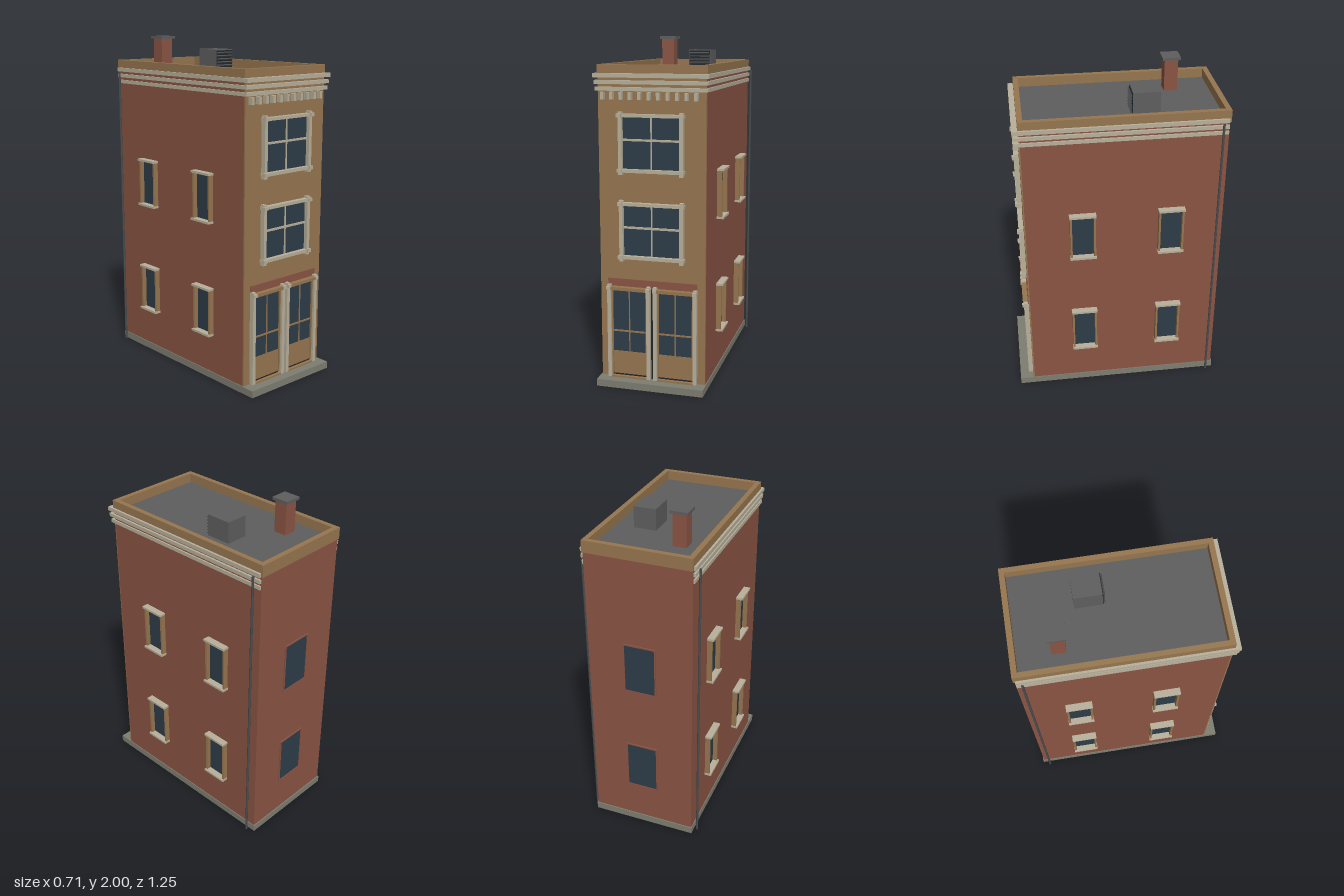
import * as THREE from 'three';

const colours = {
  brick: 0x8a5443, tan: 0x96764f, stone: 0xb8b09b, glass: 0x2d3c48,
  roofGrey: 0x5e5e5e, concrete: 0x7d7d71, metal: 0x4a4c4e, black: 0x22262a,
};

export function createModel() {
  const model = new THREE.Group();
  model.name = 'townhouse';
  const mat = {};
  for (const [name, color] of Object.entries(colours)) {
    mat[name] = new THREE.MeshStandardMaterial({ color });
    mat[name].name = name;
  }

  // Box given by its low and high limits on each axis
  function box(name, m, x0, x1, y0, y1, z0, z1, parent = model) {
    const mesh = new THREE.Mesh(new THREE.BoxGeometry(x1 - x0, y1 - y0, z1 - z0), mat[m]);
    mesh.position.set((x0 + x1) / 2, (y0 + y1) / 2, (z0 + z1) / 2);
    mesh.name = name;
    parent.add(mesh);
    return mesh;
  }
  function group(name) {
    const g = new THREE.Group();
    g.name = name;
    model.add(g);
    return g;
  }

  // Main masses
  box('foundation', 'concrete', -0.317, 0.317, 0, 0.042, -0.625, 0.626);
  box('brickBody', 'brick', -0.312, 0.312, 0.042, 1.78, -0.618, 0.537);
  box('frontFacade', 'tan', -0.31, 0.31, 0.042, 1.78, 0.537, 0.545);
  box('roofDeck', 'roofGrey', -0.29, 0.29, 1.78, 1.795, -0.6, 0.52);

  // Parapet ring
  const parapet = group('parapet');
  for (const s of [-1, 1]) {
    const a = s < 0 ? -0.315 : 0.285;
    box('parapetSide', 'tan', a, a + 0.03, 1.78, 1.85, -0.595, 0.515, parapet);
  }
  box('parapetBack', 'tan', -0.315, 0.315, 1.78, 1.85, -0.626, -0.595, parapet);
  box('parapetFront', 'tan', -0.315, 0.315, 1.78, 1.85, 0.515, 0.546, parapet);

  // Stepped cornice bands on the front and both sides
  const cornice = group('cornice');
  const bands = [[1.78, 1.803, 0.328, 0.578], [1.744, 1.765, 0.325, 0.571], [1.707, 1.728, 0.321, 0.564]];
  for (const [y0, y1, x, z] of bands) {
    box('frontBand', 'stone', -x, x, y0, y1, 0.535, z, cornice);
    for (const s of [-1, 1]) {
      const a = s < 0 ? -x : 0.305;
      box('sideBand', 'stone', a, a + x - 0.305, y0, y1, -0.615, 0.535, cornice);
    }
  }
  for (let i = 0; i < 11; i++) {
    const x = -0.278 + i * 0.0535;
    box('dentil', 'stone', x - 0.009, x + 0.009, 1.66, 1.702, 0.545, 0.574, cornice);
  }

  // Two wide front windows
  for (const y of [0.745, 1.242]) {
    const w = group('frontWindow');
    box('pane', 'glass', -0.166, 0.166, y + 0.03, y + 0.33, 0.545, 0.55, w);
    for (const s of [-1, 1]) {
      box('jamb', 'stone', s * 0.176 - 0.011, s * 0.176 + 0.011, y, y + 0.352, 0.545, 0.573, w);
      for (const h of [0.015, 0.322]) {
        box('cornerBlock', 'stone', s * 0.18 - 0.013, s * 0.18 + 0.013, y + h, y + h + 0.02, 0.545, 0.584, w);
      }
    }
    box('sill', 'stone', -0.165, 0.165, y + 0.015, y + 0.034, 0.545, 0.575, w);
    box('lintel', 'stone', -0.165, 0.165, y + 0.323, y + 0.341, 0.545, 0.575, w);
    box('mullion', 'stone', -0.004, 0.004, y + 0.034, y + 0.323, 0.55, 0.556, w);
    box('meetingRail', 'stone', -0.165, 0.165, y + 0.19, y + 0.202, 0.55, 0.558, w);
  }

  // Double entrance below a brick band
  box('entranceBand', 'brick', -0.265, 0.265, 0.585, 0.636, 0.545, 0.55);
  for (const s of [-1, 1]) {
    const d = group('entranceDoor');
    d.position.x = s * 0.137;
    box('doorGlass', 'glass', -0.104, 0.104, 0.2, 0.575, 0.545, 0.55, d);
    box('kickPanel', 'tan', -0.104, 0.104, 0.062, 0.2, 0.545, 0.553, d);
    box('doorGap', 'black', -0.104, 0.104, 0.052, 0.062, 0.545, 0.55, d);
    box('threshold', 'tan', -0.115, 0.115, 0.04, 0.052, 0.545, 0.57, d);
    box('glazingBar', 'tan', -0.003, 0.003, 0.2, 0.575, 0.55, 0.555, d);
    box('midRail', 'tan', -0.104, 0.104, 0.32, 0.329, 0.55, 0.556, d);
    box('header', 'tan', -0.122, 0.122, 0.573, 0.592, 0.545, 0.58, d);
    for (const t of [-1, 1]) {
      box('doorStile', 'tan', t * 0.102 - 0.004, t * 0.102 + 0.004, 0.062, 0.573, 0.55, 0.56, d);
      box('doorJamb', 'stone', t * 0.117 - 0.011, t * 0.117 + 0.011, 0.045, 0.602, 0.545, 0.573, d);
      box('jambCap', 'stone', t * 0.117 - 0.012, t * 0.117 + 0.012, 0.575, 0.594, 0.545, 0.585, d);
    }
  }
  box('centreGap', 'black', -0.009, 0.009, 0.045, 0.59, 0.545, 0.549);

  // Narrow side windows, built facing +z and turned to each wall
  for (const s of [-1, 1]) for (const z of [0.208, -0.31]) for (const y of [0.275, 0.96]) {
    const w = group('sideWindow');
    w.position.set(s * 0.312, y, z);
    w.rotation.y = s * Math.PI / 2;
    box('pane', 'glass', -0.064, 0.064, 0.01, 0.285, 0, 0.003, w);
    box('sill', 'stone', -0.078, 0.078, 0, 0.013, 0, 0.041, w);
    box('lintel', 'stone', -0.078, 0.078, 0.282, 0.295, 0, 0.041, w);
    for (const t of [-1, 1]) {
      box('jamb', 'tan', t * 0.069 - 0.006, t * 0.069 + 0.006, 0.013, 0.282, 0, 0.03, w);
    }
  }

  // Plain back windows with a slim surround
  for (const y of [0.275, 0.96]) {
    const w = group('backWindow');
    box('pane', 'glass', -0.09, 0.09, y, y + 0.295, -0.621, -0.617, w);
    for (const t of [-1, 1]) {
      box('sideTrim', 'brick', t * 0.094 - 0.004, t * 0.094 + 0.004, y - 0.008, y + 0.303, -0.625, -0.617, w);
    }
    box('bottomTrim', 'brick', -0.09, 0.09, y - 0.008, y, -0.625, -0.617, w);
    box('topTrim', 'brick', -0.09, 0.09, y + 0.295, y + 0.303, -0.625, -0.617, w);
  }

  // Downpipes near the back corners
  for (const s of [-1, 1]) {
    const pipe = new THREE.Mesh(new THREE.CylinderGeometry(0.007, 0.007, 1.775, 8), mat.metal);
    pipe.position.set(s * 0.338, 0.893, -0.58);
    pipe.name = 'downpipe';
    model.add(pipe);
  }

  // Chimney
  box('chimneyStack', 'brick', -0.195, -0.115, 1.79, 1.986, -0.407, -0.328);
  box('chimneyCap', 'roofGrey', -0.207, -0.103, 1.984, 2, -0.42, -0.315);

  // Roof ventilation unit with louvres facing the front
  const vent = group('roofVent');
  box('ventBody', 'roofGrey', 0.043, 0.177, 1.79, 1.92, -0.255, -0.099, vent);
  box('ventOpening', 'black', 0.047, 0.173, 1.8, 1.914, -0.099, -0.095, vent);
  for (let i = 0; i < 6; i++) {
    const slat = box('louvre', 'metal', 0.05, 0.17, 1.803 + i * 0.019, 1.809 + i * 0.019, -0.101, -0.086, vent);
    slat.rotation.x = 0.5;
  }
  return model;
}
